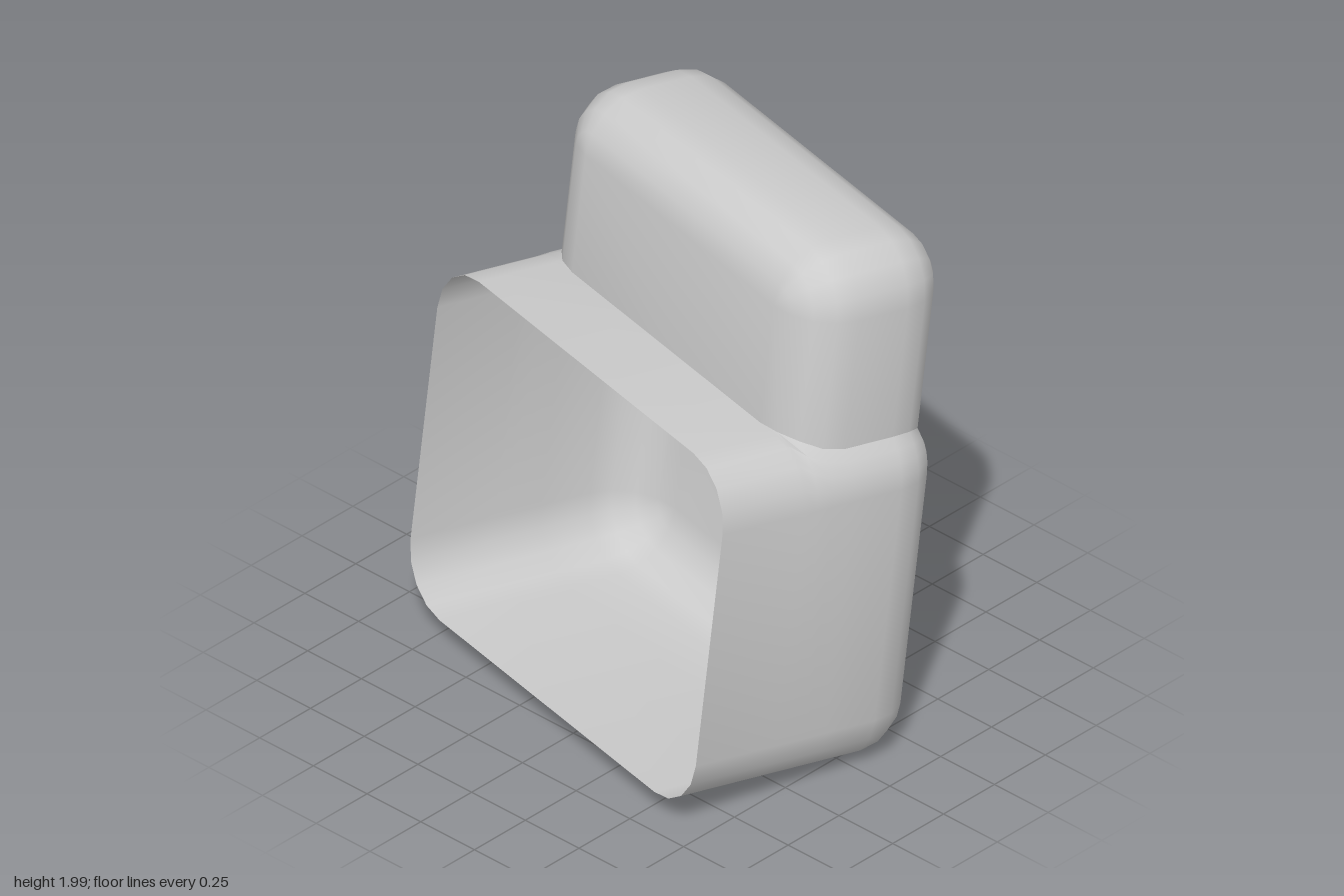
import * as THREE from 'three';
import { toCreasedNormals } from 'three/addons/utils/BufferGeometryUtils.js';

const R = 0.21;          // rounding radius of every edge
const STEPS = 4;         // facets per rounded quarter
const DEPTH = 0.95;      // open rim to back wall
const REST_FRONT = 0.33; // depth at which the upper part starts
const SEAT_X = 0.64, SEAT_TOP = 1.11; // lower corner centres
const REST_X = 0.56, REST_TOP = 1.775; // upper corner centres

const arc = (cx, cy, r, from, to) => Array.from({ length: STEPS + 1 }, (_, i) => {
  const a = from + (to - from) * i / STEPS;
  return [cx + r * Math.cos(a), cy + r * Math.sin(a)];
});
const mirrored = (pts) => pts.map(([x, y]) => [-x, y]).reverse();

// Half section of the lower box, from bottom centre up to where it meets x = w
function seatHalf(r, w) {
  const reach = w > SEAT_X && r > 0 ? Math.acos(Math.min(1, (w - SEAT_X) / r)) : Math.PI / 2;
  return [
    [0, R - r],
    ...arc(SEAT_X, R, r, -Math.PI / 2, 0),
    ...arc(SEAT_X, SEAT_TOP, r, 0, reach),
    [w, SEAT_TOP + r * Math.sin(reach)],
  ];
}

// Half section of the upper part, from the joint up to top centre
function restHalf(r, seatR) {
  const w = REST_X + r;
  const joint = seatHalf(seatR, w).pop();
  return [joint, ...arc(REST_X, REST_TOP, r, 0, Math.PI / 2), [0, REST_TOP + r]];
}

// Skin a list of rows of [x, y] points, each at its own depth
function skin(rows) {
  const n = rows[0].pts.length;
  const pos = [], index = [];
  for (const { pts, d } of rows) for (const [x, y] of pts) pos.push(x, y, -d);
  for (let i = 0; i < rows.length - 1; i++) {
    for (let j = 0; j < n - 1; j++) {
      const a = i * n + j, b = a + n;
      index.push(a, b, a + 1, b, b + 1, a + 1);
    }
  }
  const g = new THREE.BufferGeometry();
  g.setAttribute('position', new THREE.Float32BufferAttribute(pos, 3));
  g.setIndex(index);
  return toCreasedNormals(g, 0.65);
}

const collapse = (pts) => pts.map(([, y]) => [0, y]);

export function createModel() {
  const grey = new THREE.MeshStandardMaterial({ color: 0xcccccc, side: THREE.DoubleSide });
  grey.name = 'plain grey';

  // Depth stations behind the front of the upper part
  const stations = [];
  for (let i = 0; i <= STEPS; i++) {
    const a = i / STEPS * Math.PI / 2;
    stations.push({ d: REST_FRONT + R - R * Math.cos(a), rest: R * Math.sin(a), seat: R });
  }
  for (let i = 0; i <= STEPS; i++) {
    const a = i / STEPS * Math.PI / 2;
    const r = i === STEPS ? 0 : R * Math.cos(a);
    stations.push({ d: DEPTH - R + R * Math.sin(a), rest: r, seat: r });
  }

  // Lower box: closed tube at the open front, then open above into the upper part
  const seatRow = (r, w, d) => {
    const half = seatHalf(r, w);
    return { pts: [...mirrored(half), ...half], d };
  };
  const seatRows = [seatRow(R, 0, 0), seatRow(R, 0, REST_FRONT)];
  for (const s of stations) seatRows.push(seatRow(s.seat, REST_X + s.rest, s.d));
  seatRows.push({ pts: collapse(seatRows.at(-1).pts), d: DEPTH });

  // Upper part: front wall, rounded sides and top, back wall
  const restRows = stations.map((s) => {
    const half = restHalf(s.rest, s.seat);
    return { pts: [...half, ...mirrored(half)], d: s.d };
  });
  restRows.unshift({ pts: collapse(restRows[0].pts), d: REST_FRONT });
  restRows.push({ pts: collapse(restRows.at(-1).pts), d: DEPTH });

  const body = new THREE.Group();
  body.name = 'tiltedShell';
  for (const [name, rows] of [['openBox', seatRows], ['upperBack', restRows]]) {
    const mesh = new THREE.Mesh(skin(rows), grey);
    mesh.name = name;
    body.add(mesh);
  }
  // The whole shell leans back and is turned to one side
  body.rotation.set(-7 * Math.PI / 180, -12 * Math.PI / 180, 0, 'YXZ');
  body.position.set(-0.085, 0.092, 0.54);

  const model = new THREE.Group();
  model.name = 'model';
  model.add(body);
  return model;
}
